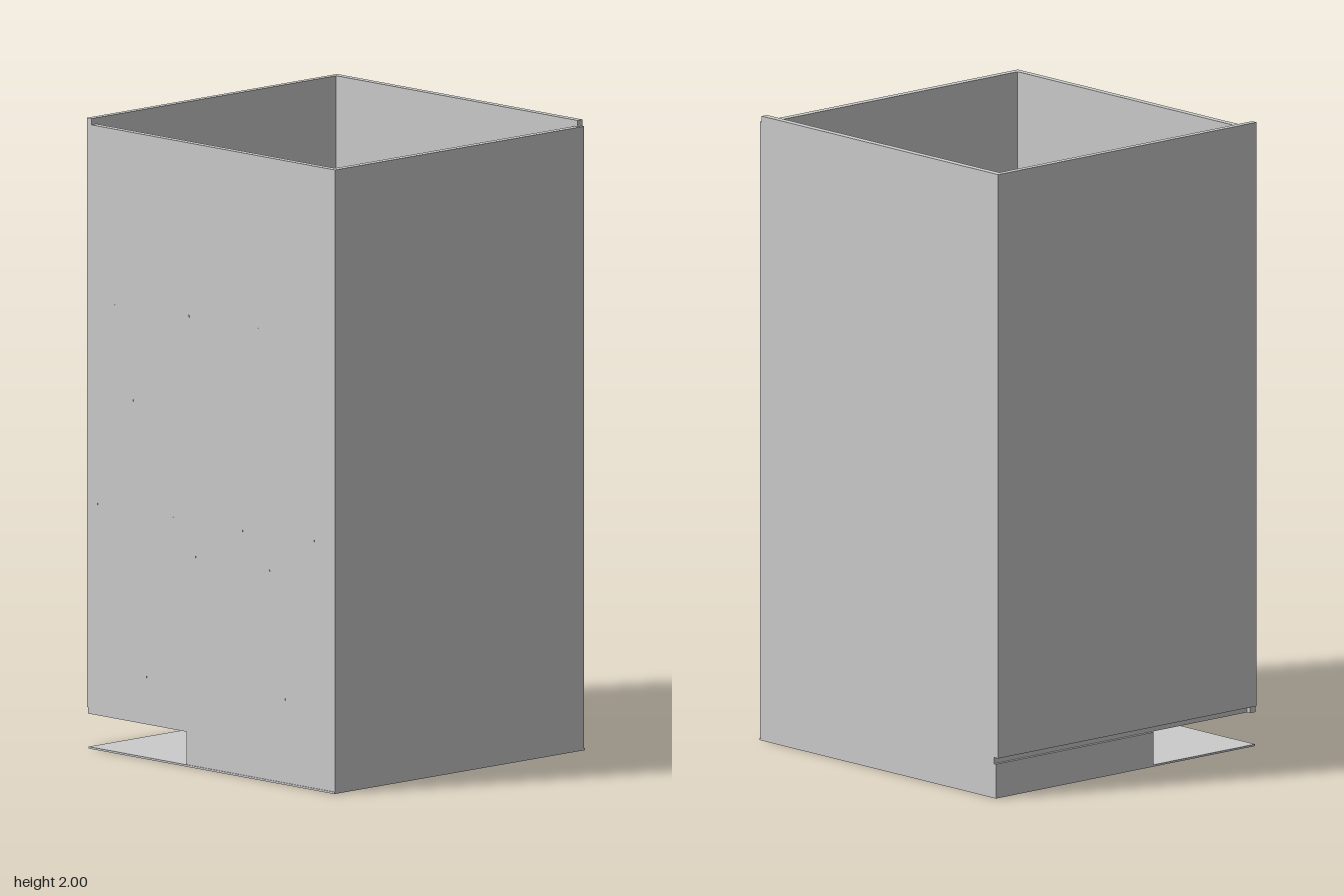
import * as THREE from 'three';

export function createModel() {
  const model = new THREE.Group();
  const grey = new THREE.MeshStandardMaterial({ color: 0xcccccc });

  const add = (name, geometry) => {
    const mesh = new THREE.Mesh(geometry, grey);
    mesh.name = name;
    model.add(mesh);
    return mesh;
  };
  // Box given by its limits on each axis
  const box = (name, x0, x1, y0, y1, z0, z1) => {
    const mesh = add(name, new THREE.BoxGeometry(x1 - x0, y1 - y0, z1 - z0));
    mesh.position.set((x0 + x1) / 2, (y0 + y1) / 2, (z0 + z1) / 2);
    return mesh;
  };
  const outline = (points) => new THREE.Shape(points.map(([a, b]) => new THREE.Vector2(a, b)));
  const extrude = (shape, depth) => new THREE.ExtrudeGeometry(shape, { depth, bevelEnabled: false });

  // Base plate and outer walls; the back and left walls rise slightly higher
  box('basePlate', -0.548, 0.543, 0, 0.006, -0.545, 0.555);
  box('frontWall', -0.545, 0.54, 0.006, 1.98, 0.532, 0.555);
  box('leftWall', 0.52, 0.543, 0.006, 2, -0.535, 0.545);
  box('backWall', -0.545, 0.543, 0.13, 2, -0.555, -0.535);
  box('lowerBackWall', -0.12, 0.543, 0.006, 0.11, -0.545, -0.525);

  // Right wall, cut away over the corner entrance
  const side = outline([[-0.535, 0.11], [-0.11, 0.11], [-0.11, 0.006], [0.532, 0.006], [0.532, 1.98], [-0.535, 1.98]]);
  const rightWall = add('rightWall', extrude(side, 0.022));
  rightWall.rotation.y = -Math.PI / 2; // shape x runs along +z, depth along -x
  rightWall.position.x = -0.523;

  // Ground storey ceiling and the corner porch with its doorway
  box('groundCeiling', -0.523, 0.52, 0.11, 0.13, -0.535, 0.532);
  box('porchCornerEnd', -0.545, -0.523, 0.11, 0.13, -0.55, -0.535);
  box('porchSideWall', -0.523, -0.1, 0.006, 0.11, -0.11, -0.09);
  box('porchDoorPost', -0.12, -0.1, 0.006, 0.11, -0.525, -0.475);
  box('porchInnerWall', -0.12, -0.1, 0.006, 0.11, -0.4, -0.11);

  // Upper floors with a stairwell at the front left
  const floor = outline([[-0.523, 0.535], [-0.523, -0.532], [0.262, -0.532], [0.262, -0.212], [0.52, -0.212], [0.52, 0.535]]);
  for (const y of [1.4, 0.76]) {
    const mesh = add('upperFloor', extrude(floor, 0.02));
    mesh.rotation.x = -Math.PI / 2;
    mesh.position.y = y;
  }
  box('middleFloor', -0.523, 0.52, 1.11, 1.13, -0.535, 0.532);

  // Stairwell wall and a U-shaped stair
  box('stairwellWall', 0.262, 0.268, 1.13, 1.42, 0.212, 0.532);
  const rise = 0.026, run = 0.0535;
  for (let i = 0; i < 5; i++) {
    const z = 0.212 + i * run;
    const upper = 1.42 - (i + 1) * rise;
    const lower = 1.13 + (i + 1) * rise;
    box('upperStep', 0.47, 0.52, upper - rise, upper, z, z + run);
    box('lowerStep', 0.268, 0.315, 1.13, lower, z, z + run);
  }
  box('stairLanding', 0.268, 0.52, 1.26, 1.28, 0.4795, 0.532);

  // Tiny fixing points on the right wall, as [z, y]
  const fixings = [
    [0.21, 1.43], [-0.1, 1.43], [-0.43, 1.42], [0.28, 1.13], [-0.35, 1.13], [0.46, 0.79], [0.14, 0.78],
    [-0.17, 0.78], [-0.51, 0.78], [0.26, 0.67], [-0.07, 0.67], [0.33, 0.27], [-0.29, 0.26], [0.28, 0.14],
  ];
  for (const [z, y] of fixings) box('wallFixing', -0.5465, -0.54, y - 0.003, y + 0.003, z - 0.003, z + 0.003);

  return model;
}
